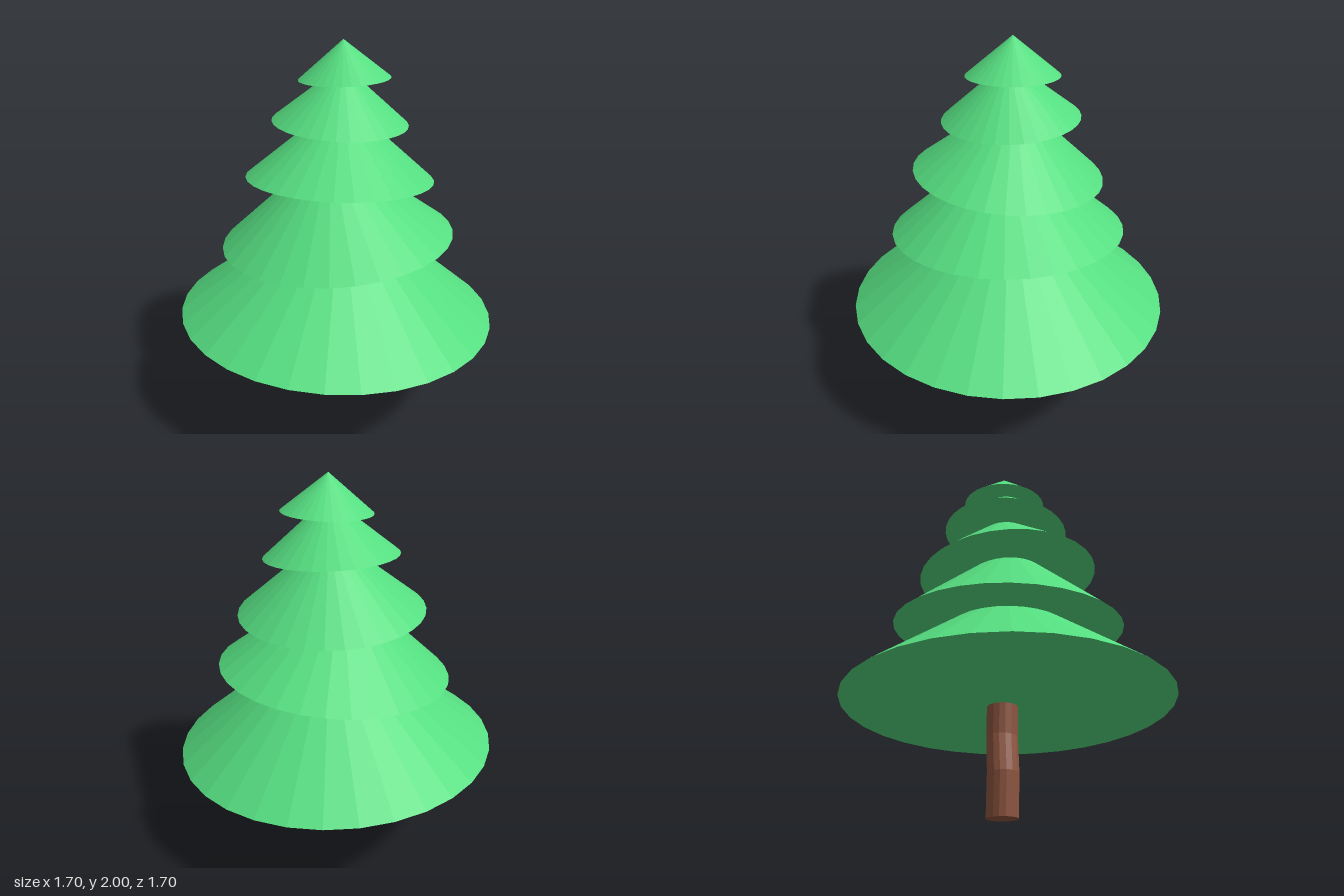
import * as THREE from 'three';

export function createModel() {
  const tree = new THREE.Group();
  tree.name = 'pineTree';
  const leafMaterial = new THREE.MeshStandardMaterial({ color: 0x55dd80, flatShading: true });
  const barkMaterial = new THREE.MeshStandardMaterial({ color: 0x8f5640, flatShading: true });

  // Foliage: closed cones stacked bottom to top, each tilted about its base centre
  const tiers = [
    { base: [0, 0.557, 0], radius: 0.851, height: 0.67, tiltX: 0, tiltZ: -0.038 },
    { base: [0.005, 0.984, 0.002], radius: 0.615, height: 0.5, tiltX: 0, tiltZ: 0.069 },
    { base: [0.018, 1.309, 0.002], radius: 0.488, height: 0.405, tiltX: -0.066, tiltZ: -0.038 },
    { base: [0.021, 1.597, -0.011], radius: 0.347, height: 0.287, tiltX: 0.046, tiltZ: -0.038 },
    { base: [0.043, 1.812, -0.016], radius: 0.232, height: 0.188, tiltX: 0, tiltZ: 0.035 },
  ];
  tiers.forEach(({ base, radius, height, tiltX, tiltZ }, i) => {
    const geometry = new THREE.ConeGeometry(radius, height, 32).translate(0, height / 2, 0);
    const tier = new THREE.Mesh(geometry, leafMaterial);
    tier.name = `foliageTier${i + 1}`;
    tier.position.set(...base);
    tier.rotation.set(tiltX, 0, tiltZ);
    tree.add(tier);
  });

  // Trunk: a cylinder whose rings are shifted sideways to make the crooked bend
  const rings = [[0.02, 0], [0.003, 0.217], [0.033, 0.405], [0.022, 0.62]]; // x offset, height
  const trunkGeometry = new THREE.CylinderGeometry(0.081, 0.081, 3, 16, 3).translate(0, 1.5, 0);
  const position = trunkGeometry.attributes.position;
  for (let i = 0; i < position.count; i++) {
    const [x, y] = rings[Math.round(position.getY(i))];
    position.setX(i, position.getX(i) + x);
    position.setY(i, y);
  }
  trunkGeometry.computeVertexNormals();
  const trunk = new THREE.Mesh(trunkGeometry, barkMaterial);
  trunk.name = 'trunk';
  trunk.position.z = -0.025;
  tree.add(trunk);

  return tree;
}
